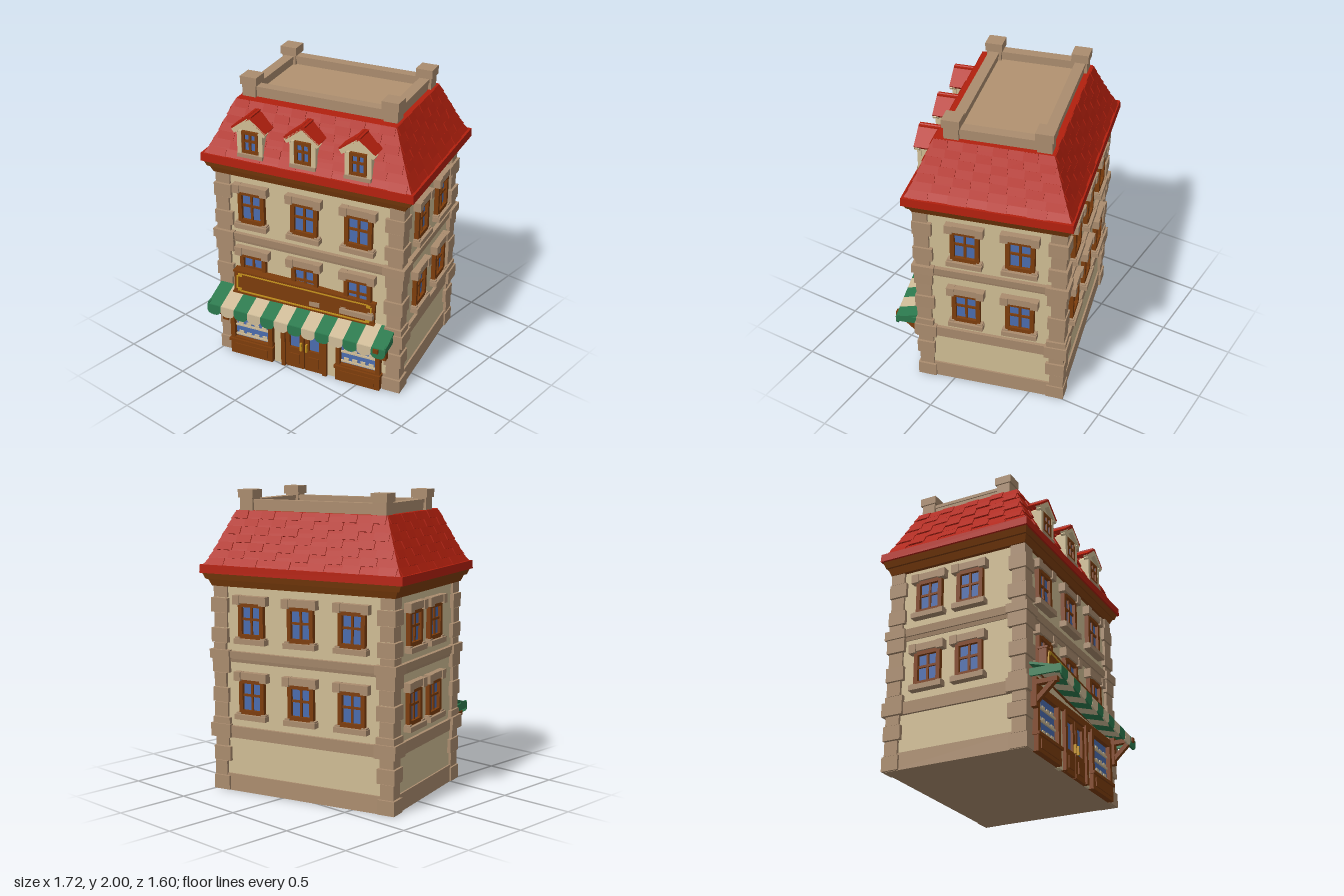
import * as THREE from 'three';

const mat = (name, color, side = THREE.FrontSide) => {
  const m = new THREE.MeshStandardMaterial({ color, side });
  m.name = name;
  return m;
};

export function createModel() {
  const wall = mat('cream plaster', 0xd0bd94), stone = mat('stone', 0xaa8c6e), wood = mat('brown wood', 0x7d3d0c);
  const red = mat('red tile', 0xb2200e), glass = mat('blue glass', 0x4a6cae), gold = mat('gold', 0xc4921c);
  const green = mat('awning green', 0x2c7a4e, THREE.DoubleSide), pale = mat('awning cream', 0xcfbc98, THREE.DoubleSide);
  const deck = mat('roof deck', 0xb29270);

  let seed = 7;
  const rnd = () => ((seed = (seed * 16807) % 2147483647) / 2147483647) - 0.5;

  const add = (parent, name, geo, material, x = 0, y = 0, z = 0) => {
    const m = new THREE.Mesh(geo, material);
    m.name = name;
    m.position.set(x, y, z);
    parent.add(m);
    return m;
  };
  const box = (p, name, m, w, h, d, x, y, z) => add(p, name, new THREE.BoxGeometry(w, h, d), m, x, y, z);
  const group = (parent, name, x = 0, y = 0, z = 0, ry = 0) => {
    const g = new THREE.Group();
    g.name = name;
    g.position.set(x, y, z);
    g.rotation.y = ry;
    parent.add(g);
    return g;
  };
  // Box tapering from half size (a0, b0) at y0 to (a1, b1) at y1
  const frustum = (p, name, m, a0, b0, y0, a1, b1, y1) => {
    const g = new THREE.BoxGeometry(2, y1 - y0, 2).toNonIndexed(), v = g.attributes.position;
    for (let i = 0; i < v.count; i++) {
      const top = v.getY(i) > 0;
      v.setX(i, v.getX(i) * (top ? a1 : a0));
      v.setZ(i, v.getZ(i) * (top ? b1 : b0));
    }
    g.computeVertexNormals();
    return add(p, name, g, m, 0, (y0 + y1) / 2, 0);
  };
  // Rectangular frame of four bars with its own pane
  const framed = (p, name, w, h, t, x, y, z, d = 0.03) => {
    const g = group(p, name, x, y, z);
    box(g, 'pane', glass, w - t, h - t, 0.008, 0, 0, 0.004);
    for (const s of [-1, 1]) {
      box(g, 'frame side', wood, t, h, d, s * (w - t) / 2, 0, d / 2);
      box(g, 'frame rail', wood, w - 2 * t, t, d, 0, s * (h - t) / 2, d / 2);
    }
    return g;
  };
  const cross = (g, w, h) => {
    box(g, 'upright bar', wood, 0.015, h, 0.018, 0, 0, 0.01);
    box(g, 'cross bar', wood, w, 0.015, 0.018, 0, 0.01, 0.01);
  };

  const root = new THREE.Group();
  root.name = 'cornerShop';
  const b = group(root, 'building', -0.005, 0, -0.06, 0.281);
  const A = 0.645, B = 0.478;

  // Walls, plinth and belts
  frustum(b, 'walls', wall, A, B, 0.02, A, B, 1.42);
  frustum(b, 'plinth', stone, A + 0.015, B + 0.015, 0, A + 0.012, B + 0.012, 0.115);
  frustum(b, 'lowerBelt', stone, A + 0.018, B + 0.018, 0.365, A + 0.022, B + 0.022, 0.445);
  frustum(b, 'upperBelt', stone, A + 0.022, B + 0.022, 0.9, A + 0.028, B + 0.028, 0.95);
  frustum(b, 'upperBeltFoot', stone, A + 0.006, B + 0.006, 0.875, A + 0.012, B + 0.012, 0.9);

  // Corner stones, alternating wide and narrow
  for (const sx of [-1, 1]) for (const sz of [-1, 1]) {
    const q = group(b, 'cornerStones');
    for (let i = 0; i < 14; i++) {
      const w = (i % 2 ? 0.098 : 0.125) + rnd() * 0.012, out = (i % 2 ? 0.018 : 0.027) + rnd() * 0.006;
      const s = box(q, 'cornerStone', stone, w, 0.095, w, sx * (A + out - w / 2), 0.05 + i * 0.1, sz * (B + out - w / 2));
      s.rotation.y = rnd() * 0.05;
    }
    for (const [y, h] of [[0.41, 0.09], [0.925, 0.06]])
      box(q, 'beltCorner', stone, 0.15, h, 0.15, sx * (A - 0.035), y, sz * (B - 0.035));
  }

  // Windows with lintel and sill
  const makeWindow = (p, x, y) => {
    const g = group(p, 'window', x, y, 0);
    g.rotation.z = rnd() * 0.03;
    cross(framed(g, 'windowFrame', 0.19, 0.235, 0.028, 0, 0, 0), 0.14, 0.19);
    box(g, 'lintel', stone, 0.17, 0.048, 0.045, 0, 0.14, 0.02);
    for (const s of [-1, 1]) {
      box(g, 'lintelEnd', stone, 0.05, 0.06, 0.055, s * 0.1, 0.135, 0.022);
      box(g, 'sillFoot', stone, 0.035, 0.035, 0.04, s * 0.095, -0.125, 0.02);
    }
    box(g, 'sill', stone, 0.235, 0.035, 0.055, 0, -0.135, 0.025);
  };
  const faces = [
    ['frontWindows', 0, 0, B, 0, [-0.4, -0.02, 0.36], 0.69],
    ['backWindows', 0, 0, -B, Math.PI, [-0.37, 0, 0.37], 0.655],
    ['leftWindows', A, 0, 0, Math.PI / 2, [-0.16, 0.2], 0.655],
    ['rightWindows', -A, 0, 0, -Math.PI / 2, [-0.2, 0.1], 0.655],
  ];
  for (const [name, x, y, z, ry, xs, low] of faces) {
    const f = group(b, name, x, y, z, ry);
    for (const wx of xs) for (const wy of [low, 1.16]) makeWindow(f, wx, wy);
  }

  // Shop front: two display windows and a double door
  const shop = group(b, 'shopFront', -0.02, 0, B + 0.015);
  box(shop, 'shopBeam', wood, 1.16, 0.05, 0.03, 0, 0.415, 0.015);
  for (const s of [-1, 1]) {
    const d = group(shop, 'displayWindow', s * 0.397, 0, 0);
    framed(d, 'displayFrame', 0.32, 0.31, 0.032, 0, 0.255, 0, 0.038);
    box(d, 'displayBase', wood, 0.32, 0.11, 0.04, 0, 0.055, 0.02);
    box(d, 'displayPanel', wood, 0.25, 0.06, 0.01, 0, 0.055, 0.042);
    box(d, 'displaySill', wood, 0.335, 0.02, 0.055, 0, 0.112, 0.025);
    for (const y of [0.15, 0.225, 0.305]) {
      box(d, 'shelf', pale, 0.26, 0.013, 0.014, 0, y, 0.012);
      for (let i = 0; i < 4; i++)
        box(d, 'goods', pale, 0.035, 0.018 + (rnd() + 0.5) * 0.015, 0.01, -0.09 + i * 0.06, y + 0.013, 0.01);
    }
    box(shop, 'pillar', wall, 0.06, 0.4, 0.03, s * 0.2, 0.2, 0);
    // Door leaf
    const leaf = group(shop, 'doorLeaf', s * 0.072, 0, 0);
    framed(leaf, 'doorGlass', 0.135, 0.25, 0.03, 0, 0.255, 0, 0.025);
    box(leaf, 'doorPanel', wood, 0.135, 0.14, 0.025, 0, 0.07, 0.0125);
    box(leaf, 'doorInset', wood, 0.075, 0.08, 0.01, 0, 0.075, 0.028);
    box(leaf, 'doorHandle', gold, 0.012, 0.06, 0.02, -s * 0.052, 0.185, 0.033);
    box(shop, 'doorPost', wood, 0.03, 0.4, 0.04, s * 0.155, 0.2, 0.02);
    // Awning bracket
    const k = group(shop, 'awningBracket', s * 0.585, 0, 0);
    box(k, 'bracketPost', wood, 0.04, 0.19, 0.04, 0, 0.36, 0.035);
    box(k, 'bracketArm', wood, 0.035, 0.03, 0.18, 0, 0.42, 0.1);
    box(k, 'bracketBrace', wood, 0.03, 0.03, 0.19, 0, 0.355, 0.1).rotation.x = -0.75;
  }

  // Striped awning with a scalloped edge, hung a little crooked
  const awning = group(b, 'awning', -0.012, 0.515, B + 0.005, 0.042);
  awning.rotation.z = -0.045;
  const n = 13, sw = 1.27 / n, reach = 0.205, drop = 0.06;
  const scallop = new THREE.Shape();
  scallop.moveTo(-sw / 2, 0).lineTo(-sw / 2, -0.035);
  scallop.quadraticCurveTo(-sw / 2, -0.075, 0, -0.075).quadraticCurveTo(sw / 2, -0.075, sw / 2, -0.035);
  scallop.lineTo(sw / 2, 0);
  const flapGeo = new THREE.ExtrudeGeometry(scallop, { depth: 0.012, bevelEnabled: false, curveSegments: 4 });
  for (let i = 0; i < n; i++) {
    const m = i % 2 ? pale : green, x = (i - (n - 1) / 2) * sw;
    box(awning, 'awningStripe', m, sw, 0.015, Math.hypot(reach, drop), x, -drop / 2, reach / 2).rotation.x = Math.atan2(drop, reach);
    add(awning, 'awningScallop', flapGeo, m, x, -drop + 0.008, reach - 0.004);
  }
  for (const s of [-1, 1])
    box(awning, 'awningEnd', green, 0.012, 0.05, reach, s * 0.629, -drop - 0.005, reach / 2);

  // Blank sign board with gold border
  const sign = group(b, 'signBoard', -0.018, 0.592, B + 0.03, 0.06);
  sign.rotation.z = -0.045;
  box(sign, 'board', wood, 1.0, 0.17, 0.05, 0, 0, 0);
  for (const s of [-1, 1]) {
    box(sign, 'goldRail', gold, 0.9, 0.009, 0.008, 0, s * 0.067, 0.028);
    box(sign, 'goldSide', gold, 0.009, 0.1, 0.008, s * 0.475, 0, 0.028);
    box(sign, 'woodRim', wood, 1.01, 0.014, 0.064, 0, s * 0.081, 0);
    for (const t of [-1, 1]) box(sign, 'goldCorner', gold, 0.028, 0.022, 0.008, s * 0.456, t * 0.056, 0.028);
  }

  // Cornice and eaves
  frustum(b, 'corniceLower', wood, 0.67, 0.498, 1.375, 0.69, 0.515, 1.42);
  frustum(b, 'corniceUpper', wood, 0.705, 0.522, 1.42, 0.725, 0.535, 1.465);
  frustum(b, 'eaves', red, 0.738, 0.545, 1.46, 0.735, 0.542, 1.515);

  // Mansard roof: overlapping courses with loose raised tiles
  const roof = group(b, 'mansardRoof'), rows = 7, y0 = 1.51, y1 = 1.865;
  const prof = (t) => [0.715 - 0.165 * Math.pow(t, 0.9), 0.525 - 0.15 * Math.pow(t, 0.9), y0 + (y1 - y0) * t];
  for (let r = 0; r < rows; r++) {
    const [a0, b0, ya] = prof(r / rows), [a1, b1, yb] = prof((r + 1) / rows);
    frustum(roof, 'tileCourse', red, a0 + 0.006, b0 + 0.006, ya, a1, b1, yb);
    for (let side = 0; side < 4; side++) {
      const long = side % 2 === 0, half = long ? a1 : b1, out0 = long ? b0 : a0, out1 = long ? b1 : a1;
      const f = group(roof, 'tileRow', 0, 0, 0, side * Math.PI / 2), count = long ? 11 : 8, tw = 2 * half / count;
      for (let i = r % 2; i < count; i += 2) {
        const t = box(f, 'tile', red, tw * 0.98, Math.hypot(yb - ya, out0 - out1), 0.012,
          -half + tw * (i + 0.5), (ya + yb) / 2, (out0 + out1) / 2 + 0.002 + rnd() * 0.004);
        t.rotation.x = -Math.atan2(out0 - out1 + 0.004, yb - ya);
      }
    }
  }

  // Parapet with corner posts
  const par = group(b, 'parapet', 0, 0, -0.02);
  box(par, 'roofDeck', deck, 0.98, 0.02, 0.58, 0, 1.867, 0);
  for (const s of [-1, 1]) {
    box(par, 'longRail', stone, 0.98, 0.055, 0.055, 0, 1.89, s * 0.29);
    box(par, 'longCap', stone, 0.98, 0.022, 0.07, 0, 1.925, s * 0.29);
    box(par, 'shortRail', stone, 0.055, 0.055, 0.58, s * 0.487, 1.89, 0);
    box(par, 'shortCap', stone, 0.07, 0.022, 0.58, s * 0.487, 1.925, 0);
    for (const t of [-1, 1]) {
      box(par, 'post', stone, 0.095, 0.1, 0.095, s * 0.487, 1.9, t * 0.29);
      box(par, 'postCap', stone, 0.115, 0.055, 0.115, s * 0.487, 1.9725, t * 0.29);
    }
  }

  // Dormers
  const gable = new THREE.Shape();
  gable.moveTo(-0.085, 0).lineTo(0.085, 0).lineTo(0.085, 0.18).lineTo(0, 0.245).lineTo(-0.085, 0.18);
  const bodyGeo = new THREE.ExtrudeGeometry(gable, { depth: 0.2, bevelEnabled: false });
  for (const x of [-0.385, -0.015, 0.36]) {
    const d = group(b, 'dormer', x, 1.535, 0.3);
    add(d, 'dormerBody', bodyGeo, wall);
    cross(framed(d, 'dormerWindow', 0.115, 0.15, 0.02, 0, 0.105, 0.2, 0.02), 0.085, 0.12);
    box(d, 'dormerSill', stone, 0.18, 0.025, 0.035, 0, 0.012, 0.21);
    for (const s of [-1, 1]) {
      box(d, 'dormerPost', wall, 0.03, 0.16, 0.025, s * 0.075, 0.1, 0.207);
      box(d, 'dormerFoot', wall, 0.035, 0.022, 0.03, s * 0.098, 0.182, 0.212);
      box(d, 'dormerTrim', wall, 0.145, 0.032, 0.035, s * 0.056, 0.22, 0.212).rotation.z = -s * 0.65;
      box(d, 'dormerRoof', red, 0.155, 0.022, 0.235, s * 0.058, 0.24, 0.112).rotation.z = -s * 0.65;
    }
    box(d, 'dormerRidge', red, 0.04, 0.022, 0.235, 0, 0.282, 0.11);
  }
  return root;
}
